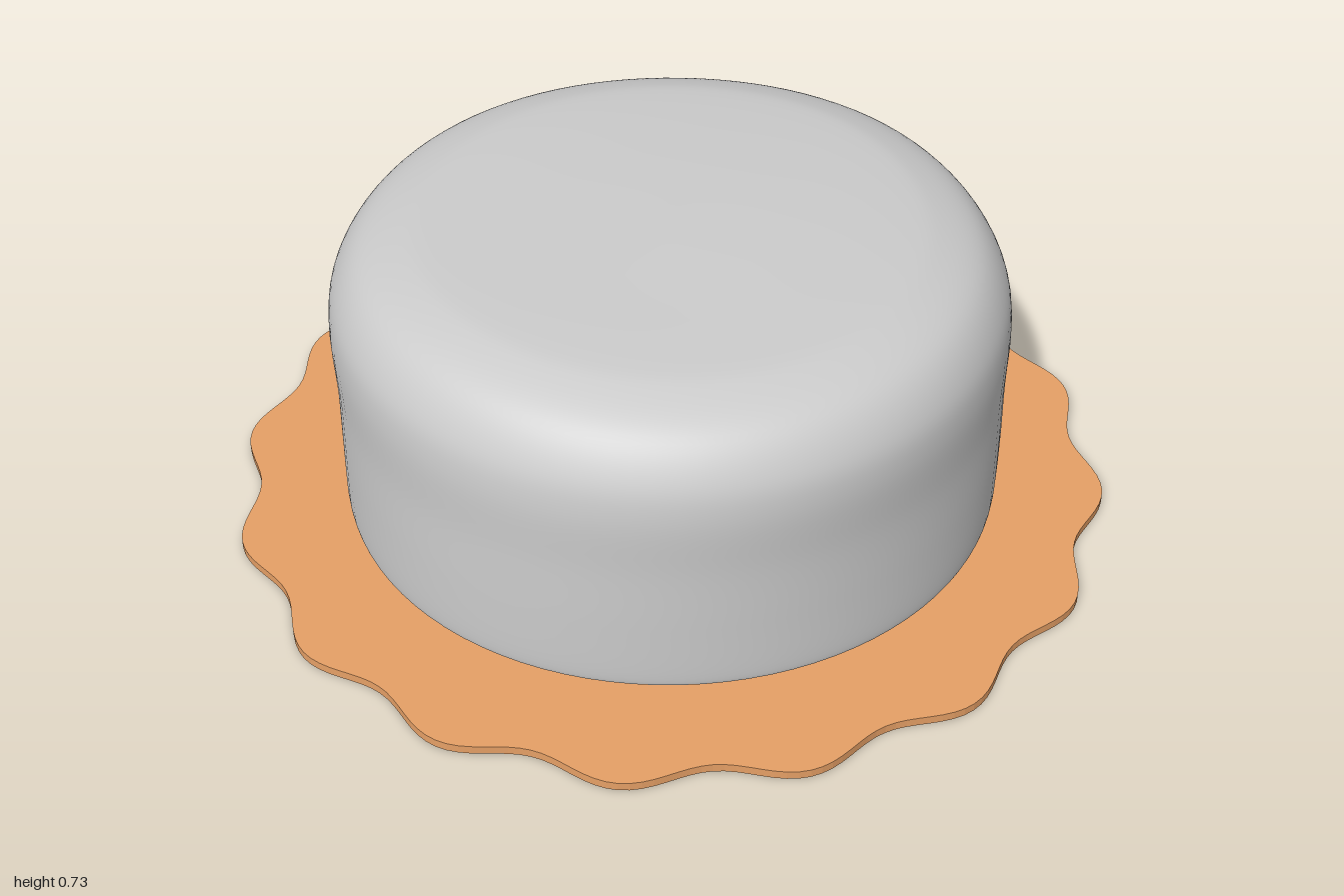
import * as THREE from 'three';
import { mergeVertices } from 'three/addons/utils/BufferGeometryUtils.js';

const LOBES = 16;

// Thin board with a wavy scalloped edge
function createBoard() {
  const points = [];
  const steps = LOBES * 16;
  for (let i = 0; i < steps; i++) {
    const a = (i / steps) * Math.PI * 2;
    const r = 0.99 - 0.026 * Math.cos(LOBES * a);
    points.push(new THREE.Vector2(r * Math.cos(a), r * Math.sin(a)));
  }
  const geometry = new THREE.ExtrudeGeometry(new THREE.Shape(points), { depth: 0.02, bevelEnabled: false });
  geometry.rotateX(-Math.PI / 2);
  const board = new THREE.Mesh(geometry, new THREE.MeshStandardMaterial({ color: 0xe6a066 }));
  board.name = 'scallopedBoard';
  return board;
}

// Soft round cake: a turned profile with slight hand-made unevenness
function createCake() {
  const side = new THREE.SplineCurve([
    [0.73, 0.027], [0.752, 0.034], [0.761, 0.06], [0.762, 0.2], [0.761, 0.35], [0.764, 0.5],
    [0.745, 0.59], [0.69, 0.665], [0.6, 0.705], [0.5, 0.719], [0.25, 0.726], [0, 0.729],
  ].map(([x, y]) => new THREE.Vector2(x, y)));
  const profile = [new THREE.Vector2(0, 0.022), ...side.getPoints(66)];
  profile[profile.length - 1].x = 0;

  let geometry = new THREE.LatheGeometry(profile, 96);
  geometry.deleteAttribute('uv');
  geometry.deleteAttribute('normal');
  geometry = mergeVertices(geometry, 1e-5);

  const p = geometry.attributes.position;
  for (let i = 0; i < p.count; i++) {
    const x = p.getX(i), y = p.getY(i), z = p.getZ(i);
    const a = Math.atan2(z, x);
    // gentle dents around the wall, and a shallow swell on the top
    const dent = 1 + 0.004 * Math.sin(3 * a + 6 * y) * Math.min(1, Math.hypot(x, z) / 0.5);
    const swell = 0.005 * Math.sin(4 * x + 1) * Math.cos(5 * z + 0.6) * THREE.MathUtils.smoothstep(y, 0.4, 0.72);
    p.setXYZ(i, x * dent, y + swell, z * dent);
  }
  geometry.computeVertexNormals();
  const cake = new THREE.Mesh(geometry, new THREE.MeshStandardMaterial({ color: 0xcccccc }));
  cake.name = 'cake';
  return cake;
}

export function createModel() {
  const group = new THREE.Group();
  group.name = 'cakeOnBoard';
  group.add(createBoard(), createCake());
  return group;
}
